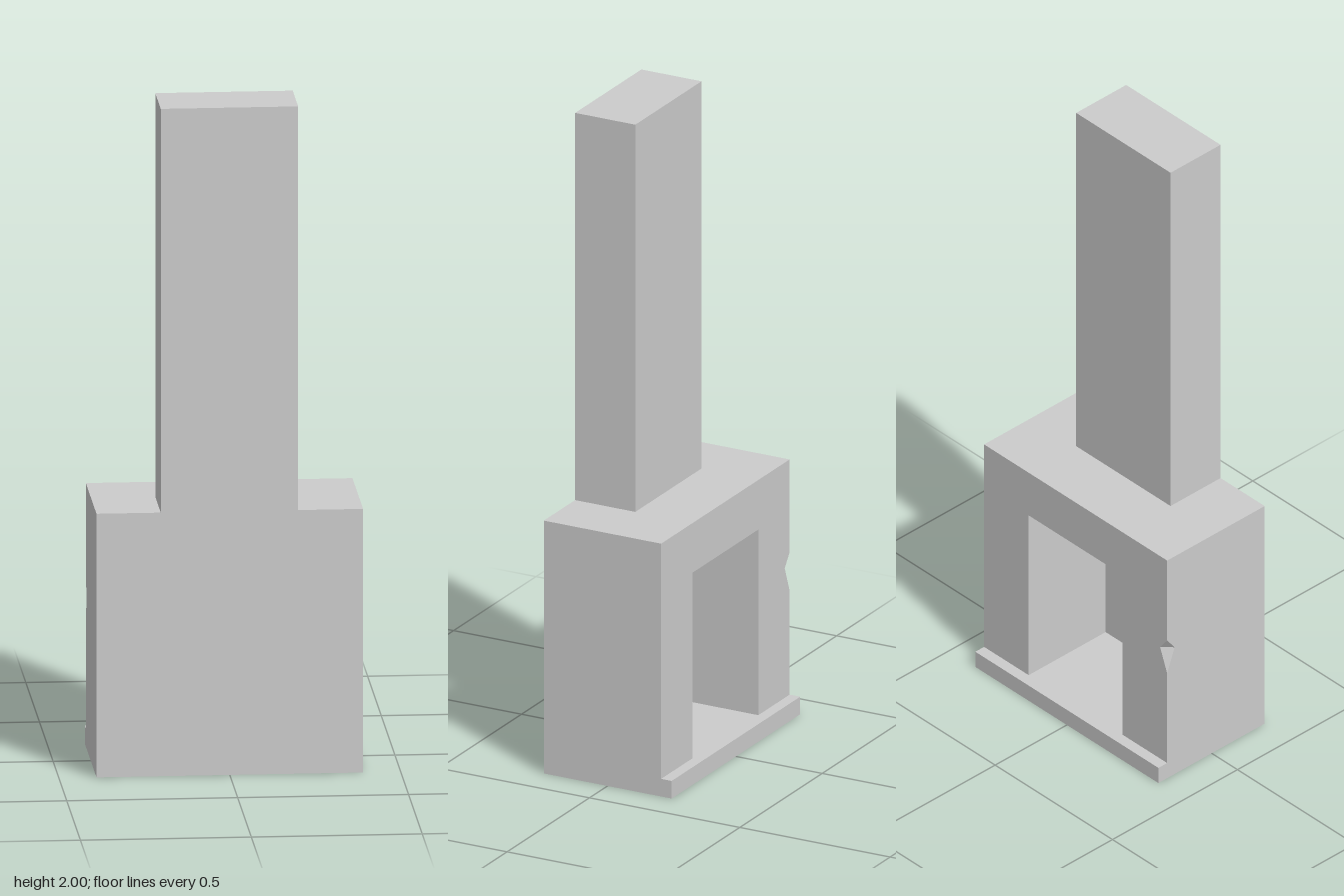
import * as THREE from 'three';

const HALF_W = 0.39, FRONT = 0.212, BACK = -0.178;
const HEARTH_TOP = 0.055, LINTEL_Y = 0.635, BODY_TOP = 0.79;

export function createModel() {
  const group = new THREE.Group();
  group.name = 'fireplace';
  const material = new THREE.MeshStandardMaterial({ color: 0xcccccc, flatShading: true });

  function add(name, geometry) {
    const mesh = new THREE.Mesh(geometry, material);
    mesh.name = name;
    group.add(mesh);
  }

  // Box given by its lower and upper corners
  function box(name, x0, y0, z0, x1, y1, z1) {
    const g = new THREE.BoxGeometry(x1 - x0, y1 - y0, z1 - z0);
    g.translate((x0 + x1) / 2, (y0 + y1) / 2, (z0 + z1) / 2);
    add(name, g);
  }

  // Hearth slab, with a ledge in front of the opening
  box('hearth', -HALF_W, 0, -0.213, HALF_W, HEARTH_TOP, FRONT);

  // U-shaped firebox walls: one plan section, with the corner cut back by c
  const section = (c) => [
    [-HALF_W, FRONT], [HALF_W, FRONT], [HALF_W, BACK],
    [0.2, BACK], [0.2, 0.13], [-0.2, 0.13], [-0.2, BACK],
    [-HALF_W + c, BACK], [-HALF_W, BACK + c],
  ];
  // Levels [height, corner cut]; the middle one forms the chipped corner
  const levels = [[HEARTH_TOP, 0], [0.38, 0], [0.46, 0.03], [0.5, 0], [LINTEL_Y, 0]];
  const rings = levels.map(([y, c]) => section(c).map(([x, z]) => new THREE.Vector3(x, y, z)));
  const positions = [];
  const triangle = (a, b, c) => {
    if (a.equals(b) || b.equals(c) || c.equals(a)) return;
    for (const p of [a, b, c]) positions.push(p.x, p.y, p.z);
  };
  for (let i = 0; i < rings.length - 1; i++) {
    const low = rings[i], high = rings[i + 1];
    for (let j = 0; j < low.length; j++) {
      const k = (j + 1) % low.length;
      triangle(low[j], low[k], high[k]);
      triangle(low[j], high[k], high[j]);
    }
  }
  const walls = new THREE.BufferGeometry();
  walls.setAttribute('position', new THREE.Float32BufferAttribute(positions, 3));
  walls.computeVertexNormals();
  add('fireboxWalls', walls);

  // Lintel block closing the firebox, and the chimney above it
  box('lintel', -HALF_W, LINTEL_Y, BACK, HALF_W, BODY_TOP, FRONT);
  box('chimney', -0.202, BODY_TOP, 0.012, 0.2, 2, FRONT);

  return group;
}
